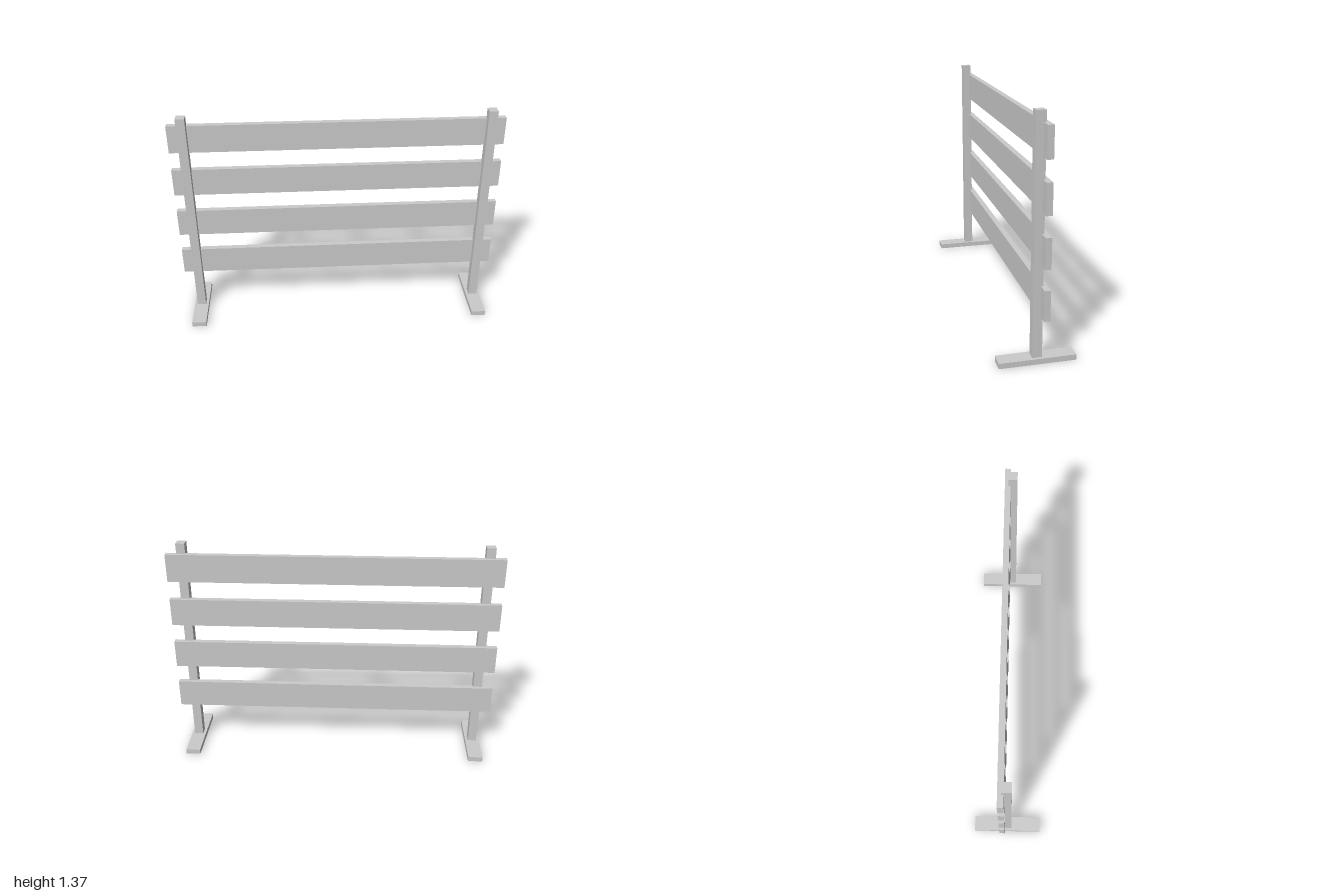
import * as THREE from 'three';

const material = new THREE.MeshStandardMaterial({ color: 0xcccccc, flatShading: true });

// Box placed by its centre in x and z and its underside in y
function addBox(group, name, [w, h, d], [x, bottom, z]) {
  const mesh = new THREE.Mesh(new THREE.BoxGeometry(w, h, d), material);
  mesh.name = name;
  mesh.position.set(x, bottom + h / 2, z);
  group.add(mesh);
}

export function createModel() {
  const model = new THREE.Group();
  model.name = 'slattedFence';

  // Two uprights, each standing on a flat foot
  const footHeight = 0.031;
  for (const [side, s] of [['left', 1], ['right', -1]]) {
    const x = s * 0.908;
    addBox(model, `${side}Foot`, [0.09, footHeight, 0.43], [x, 0, 0]);
    addBox(model, `${side}Post`, [0.054, 1.365 - footHeight, 0.054], [x, footHeight, 0]);
  }

  // Four evenly spaced boards let into the back of the posts
  for (let i = 0; i < 4; i++) {
    addBox(model, `board${i + 1}`, [2, 0.172, 0.034], [0, 0.27 + i * 0.287, -0.031]);
  }

  return model;
}
